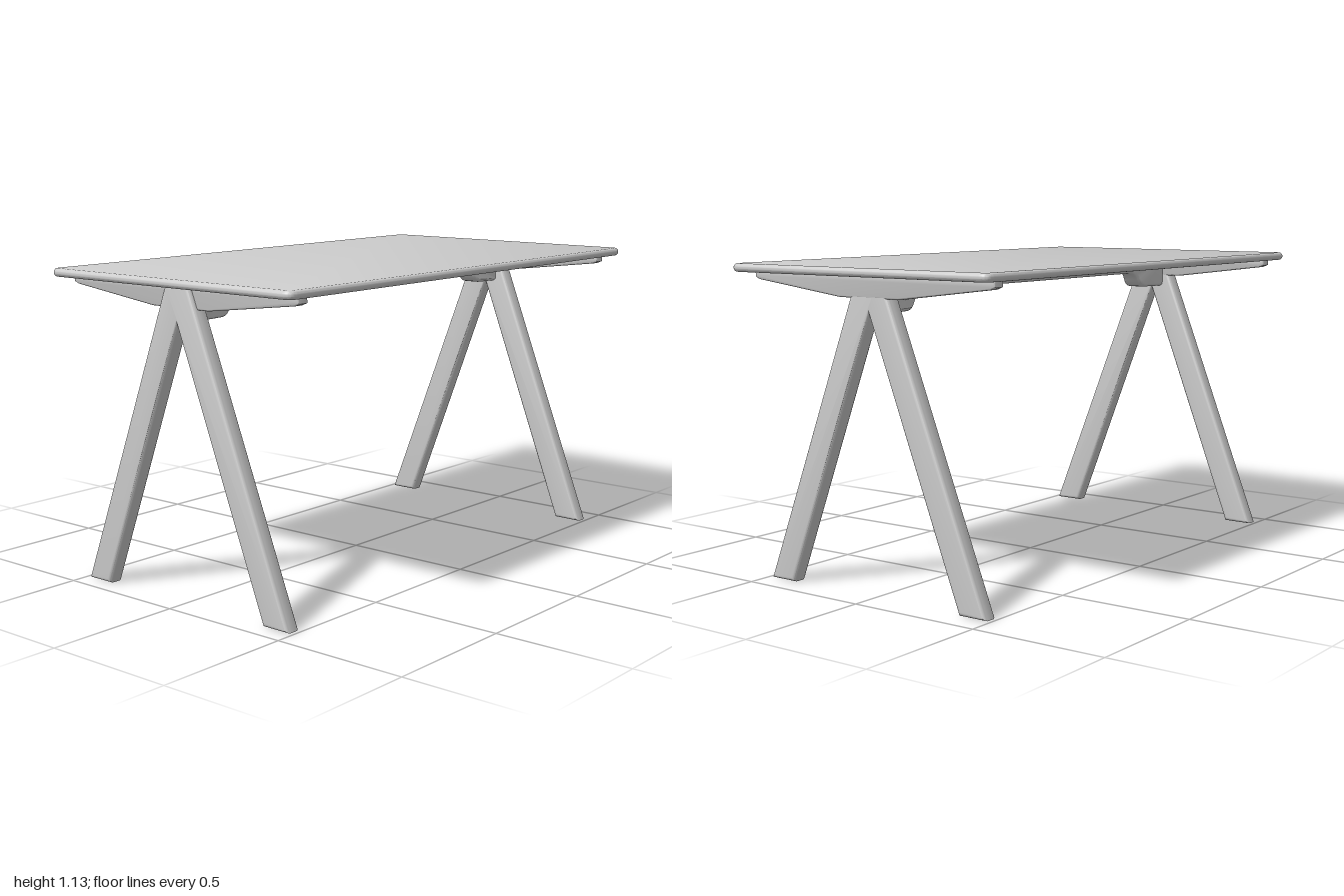
import * as THREE from 'three';
import { toCreasedNormals } from 'three/addons/utils/BufferGeometryUtils.js';

const material = new THREE.MeshStandardMaterial({ color: 0xcccccc });

// Extrude a shape to a total depth centred on z, with rounded edges kept inside the outline.
function roundedSlab(shape, depth, bevel) {
  const g = new THREE.ExtrudeGeometry(shape, {
    depth: depth - 2 * bevel, bevelThickness: bevel, bevelSize: bevel,
    bevelOffset: -bevel, bevelSegments: 5, curveSegments: 10,
  });
  return g.translate(0, 0, -(depth - 2 * bevel) / 2);
}

function polygon(points) {
  return new THREE.Shape(points.map(([x, y]) => new THREE.Vector2(x, y)));
}

function addPart(group, name, geometry, x = 0) {
  const mesh = new THREE.Mesh(toCreasedNormals(geometry, 0.6), material);
  mesh.name = name;
  mesh.position.x = x;
  group.add(mesh);
}

// Rectangular top with small rounded corners and a rounded rim
function topGeometry() {
  const w = 1, d = 0.565, r = 0.035;
  const s = new THREE.Shape();
  s.moveTo(-w + r, -d);
  s.lineTo(w - r, -d);
  s.quadraticCurveTo(w, -d, w, -d + r);
  s.lineTo(w, d - r);
  s.quadraticCurveTo(w, d, w - r, d);
  s.lineTo(-w + r, d);
  s.quadraticCurveTo(-w, d, -w, d - r);
  s.lineTo(-w, -d + r);
  s.quadraticCurveTo(-w, -d, -w + r, -d);
  return roundedSlab(s, 0.03, 0.014).rotateX(-Math.PI / 2).translate(0, 1.115, 0);
}

// Long beam, deeper and wider where it meets the legs
function beamGeometry() {
  const s = new THREE.Shape();
  s.moveTo(-0.89, 1.105);
  s.lineTo(-0.89, 0.98);
  s.lineTo(-0.76, 0.982);
  s.bezierCurveTo(-0.71, 0.985, -0.72, 1.04, -0.66, 1.04);
  s.lineTo(0.66, 1.04);
  s.bezierCurveTo(0.72, 1.04, 0.71, 0.98, 0.76, 0.975);
  s.lineTo(0.87, 0.973);
  s.lineTo(0.87, 1.105);
  s.closePath();
  const g = roundedSlab(s, 0.06, 0.012);
  const p = g.attributes.position;
  for (let i = 0; i < p.count; i++) {
    const flare = THREE.MathUtils.smoothstep(Math.abs(p.getX(i)), 0.66, 0.8);
    p.setZ(i, p.getZ(i) * (1 + 0.8 * flare));
  }
  return g;
}

export function createModel() {
  const table = new THREE.Group();
  table.name = 'table';
  addPart(table, 'tableTop', topGeometry());
  addPart(table, 'beam', beamGeometry());

  // Outlines in z and y, turned to stand across the table
  const legShape = polygon([
    [0.055, 1.105], [-0.055, 1.105], [-0.485, 0.003], [-0.372, 0.003],
    [0, 0.97], [0.372, 0.003], [0.485, 0.003],
  ]);
  const braceShape = polygon([
    [0.53, 1.105], [-0.53, 1.105], [-0.53, 1.08], [-0.51, 1.072],
    [-0.13, 1.025], [0.13, 1.025], [0.51, 1.072], [0.53, 1.08],
  ]);
  for (const [side, x] of [['right', -0.909], ['left', 0.886]]) {
    addPart(table, side + 'LegPair', roundedSlab(legShape, 0.06, 0.016).rotateY(Math.PI / 2), x);
    addPart(table, side + 'CrossBrace', roundedSlab(braceShape, 0.046, 0.008).rotateY(Math.PI / 2), x + 0.008);
  }
  return table;
}
